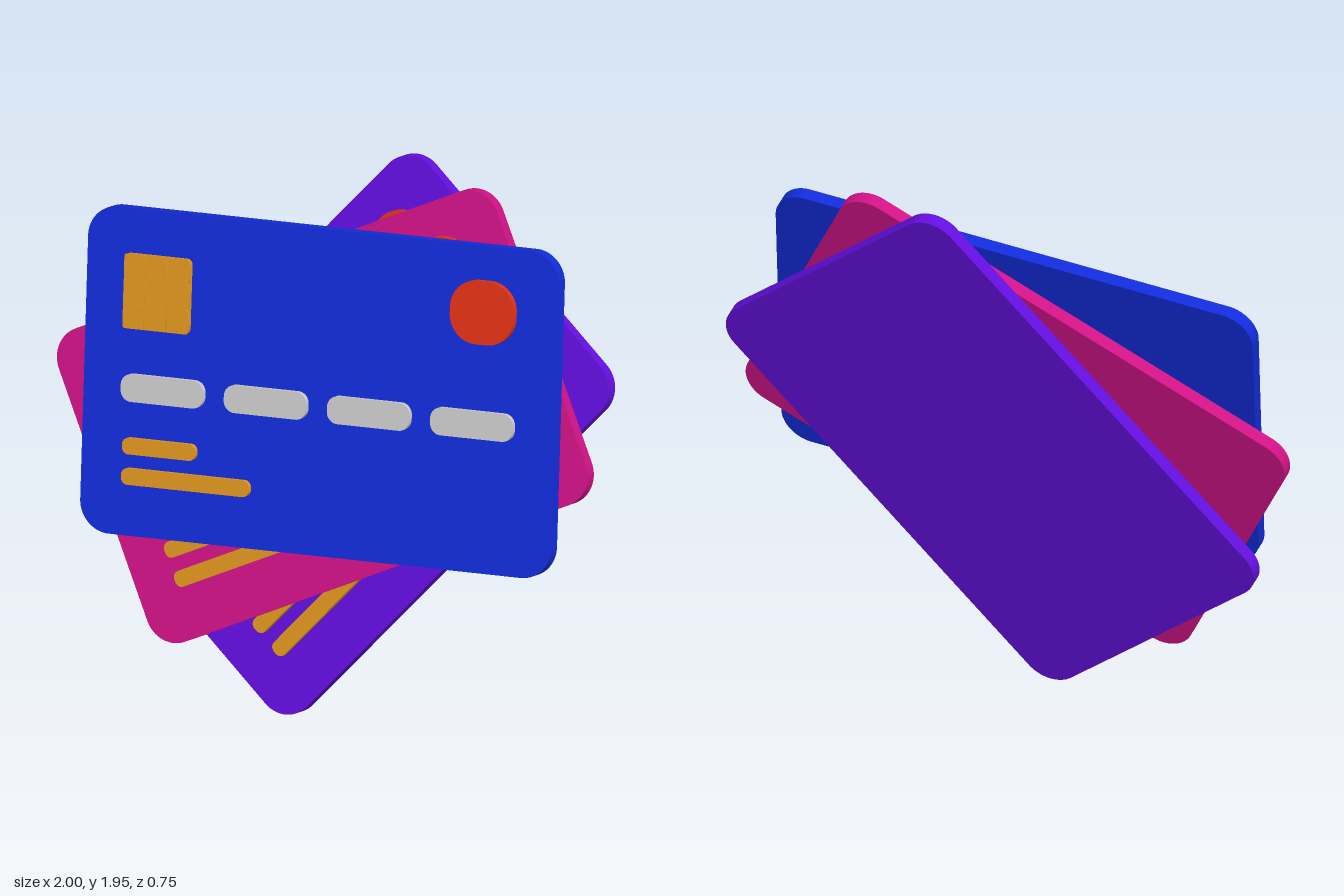
import * as THREE from 'three';
import { toCreasedNormals } from 'three/addons/utils/BufferGeometryUtils.js';

const W = 1.77, H = 1.13, T = 0.05; // card width, height, thickness
const NORMAL = new THREE.Vector3(0.158, 0.247, 0.956); // shared facing direction

const mat = (color) => new THREE.MeshStandardMaterial({ color });
const gold = mat(0xe0951f), red = mat(0xe23314), grey = mat(0xcccccc);

// Rounded slab centred on (x, y), from z0 to z0 + depth
function slab(name, material, x, y, z0, w, h, r, depth) {
  const a = w / 2, b = h / 2;
  const s = new THREE.Shape();
  s.moveTo(-a + r, -b);
  s.absarc(a - r, -b + r, r, -Math.PI / 2, 0);
  s.absarc(a - r, b - r, r, 0, Math.PI / 2);
  s.absarc(-a + r, b - r, r, Math.PI / 2, Math.PI);
  s.absarc(-a + r, -b + r, r, Math.PI, Math.PI * 1.5);
  s.closePath();
  const geo = new THREE.ExtrudeGeometry(s, { depth, bevelEnabled: false, curveSegments: 10 });
  const mesh = new THREE.Mesh(toCreasedNormals(geo, 0.6), material);
  mesh.name = name;
  mesh.position.set(x, y, z0);
  return mesh;
}

// Contact chip: a plate with side columns split in three and an undivided middle
function makeChip(z) {
  const chip = new THREE.Group();
  chip.name = 'chip';
  const w = 0.25, h = 0.26, gap = 0.004;
  chip.add(slab('chipPlate', gold, 0, 0, z, w, h, 0.02, 0.014));
  const cw = w / 3, ch = h / 3;
  for (const col of [-1, 0, 1]) {
    for (const row of col === 0 ? [0] : [-1, 0, 1]) {
      const ph = col === 0 ? h : ch;
      chip.add(slab('chipContact', gold, col * cw, row * ch, z + 0.014,
        cw - gap, ph - gap, col !== 0 && row !== 0 ? 0.008 : 0.002, 0.005));
    }
  }
  chip.position.set(-0.615, 0.281, 0);
  return chip;
}

function makeCard(name, color, angle, position) {
  const card = new THREE.Group();
  card.name = name;
  const f = T / 2; // front face
  card.add(slab('cardBody', mat(color), 0, 0, -f, W, H, 0.11, T));
  card.add(makeChip(f));
  card.add(slab('roundBadge', red, 0.611, 0.337, f, 0.24, 0.22, 0.1, 0.025));
  // Four number blocks
  for (let i = 0; i < 4; i++) {
    card.add(slab('numberBlock', grey, -0.582 + 0.388 * i, -0.052, f, 0.31, 0.096, 0.04, 0.02));
  }
  // Two detail lines
  card.add(slab('shortLine', gold, -0.588, -0.253, f, 0.275, 0.057, 0.024, 0.02));
  card.add(slab('longLine', gold, -0.486, -0.358, f, 0.48, 0.057, 0.024, 0.02));
  // Face the shared direction, then turn in the card plane
  card.position.copy(position);
  card.lookAt(position.clone().add(NORMAL));
  card.rotateZ(THREE.MathUtils.degToRad(angle));
  return card;
}

export function createModel() {
  const model = new THREE.Group();
  model.name = 'cardFan';
  model.add(makeCard('frontCard', 0x122cdc, 5, new THREE.Vector3(0.038, 1.193, 0.07)));
  model.add(makeCard('middleCard', 0xd01286, 28.3, new THREE.Vector3(0, 1.065, 0)));
  model.add(makeCard('backCard', 0x640fe0, 51.5, new THREE.Vector3(0.048, 0.978, -0.083)));
  return model;
}
